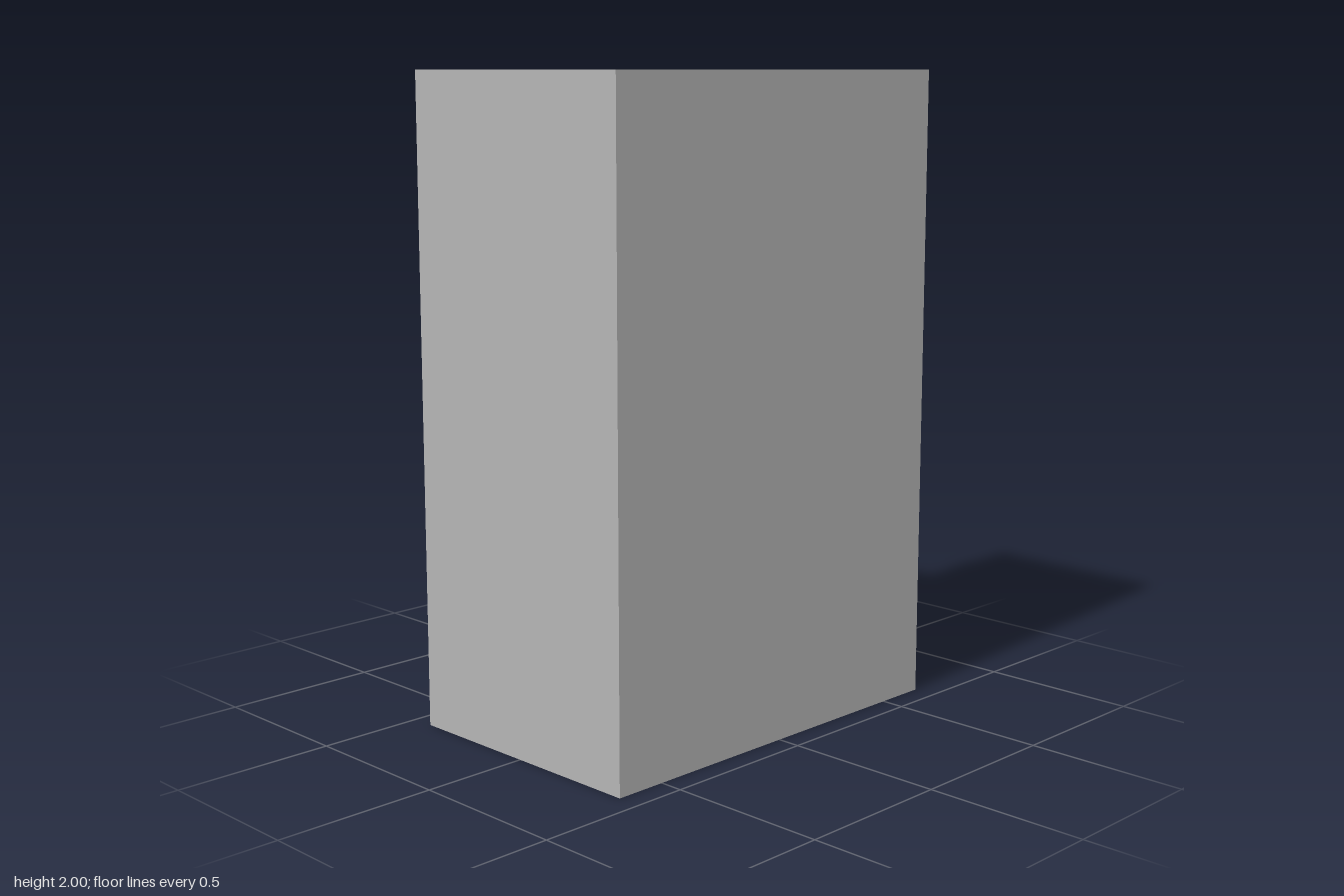
import * as THREE from 'three';
import { toCreasedNormals } from 'three/addons/utils/BufferGeometryUtils.js';

const HEIGHT = 2;
const FRONT = -0.4;   // inner face of the front wall (profile y points to the back)
const BOSS_OUTER = 0.038, BOSS_INNER = 0.023;
const rad = THREE.MathUtils.degToRad;

// Points along a circular arc, angles in radians
function arc(cx, cy, r, from, to, steps) {
  return Array.from({ length: steps + 1 }, (_, i) => {
    const a = from + (to - from) * i / steps;
    return [cx + r * Math.cos(a), cy + r * Math.sin(a)];
  });
}

// C-shaped screw channel on a wall; side = 1 opens to the back, -1 to the front.
// A stem half-width joins it to the wall, otherwise it grows straight from it.
function boss(cx, cy, side, wallY, stem) {
  const wallV = (wallY - cy) * side;
  const half = stem ?? Math.sqrt(BOSS_OUTER ** 2 - wallV ** 2);
  const start = -Math.acos(half / BOSS_OUTER);
  const tip = rad(48), mid = (BOSS_OUTER + BOSS_INNER) / 2;
  const right = [
    ...(stem ? [[half, wallV]] : []),
    ...arc(0, 0, BOSS_OUTER, start, tip, 14),
    ...arc(mid * Math.cos(tip), mid * Math.sin(tip), (BOSS_OUTER - BOSS_INNER) / 2, tip, tip + Math.PI, 8).slice(1),
    ...arc(0, 0, BOSS_INNER, tip, -Math.PI / 2, 14).slice(1),
  ];
  const left = right.slice(0, -1).reverse().map(([u, v]) => [-u, v]);
  return [...right, ...left].map(([u, v]) => [cx + side * u, cy + side * v]);
}

const toPoints = (list) => list.map(([x, y]) => new THREE.Vector2(x, y));

export function createModel() {
  const aluminium = new THREE.MeshStandardMaterial({ color: 0xb4b4b4 });
  aluminium.name = 'aluminium grey';

  // Outer outline: front, right side, stepped back with ridge, lip and recessed strip
  const ridge = Math.asin(0.024 / BOSS_OUTER);
  const profile = new THREE.Shape(toPoints([
    [-0.665, -0.427], [0.665, -0.427], [0.665, 0.282],
    ...arc(0.434, 0.258, BOSS_OUTER, ridge, Math.PI - ridge, 14),
    [0.188, 0.282], [0.152, 0.41], [0.125, 0.41], [0.125, 0.404],
    [0.118, 0.408], [-0.026, 0.408], [-0.035, 0.404],
    ...arc(-0.053, 0.409, 0.018, 0, Math.PI / 2, 8),
    [-0.665, 0.427],
  ]));

  // Three hollow chambers, the outer two with screw channels
  const chambers = [
    [
      [-0.057, FRONT], ...boss(-0.434, -0.373, 1, FRONT),
      [-0.648, FRONT], [-0.648, 0.41],
      ...boss(-0.434, 0.309, -1, 0.41, 0.007), [-0.057, 0.41],
    ],
    [[0.125, FRONT], [-0.035, FRONT], [-0.035, 0.4], [0.125, 0.4]],
    [
      [0.645, FRONT], ...boss(0.434, -0.373, 1, FRONT),
      [0.145, FRONT], [0.145, 0.263],
      ...boss(0.434, 0.258, -1, 0.263), [0.645, 0.263],
    ],
  ];
  for (const chamber of chambers) profile.holes.push(new THREE.Path(toPoints(chamber)));

  // Extrude upwards
  const extrusion = new THREE.ExtrudeGeometry(profile, { depth: HEIGHT, bevelEnabled: false });
  extrusion.rotateX(-Math.PI / 2);
  const frame = new THREE.Mesh(toCreasedNormals(extrusion, rad(30)), aluminium);
  frame.name = 'frameProfile';

  const model = new THREE.Group();
  model.name = 'hollowFrameSection';
  model.add(frame);
  return model;
}
